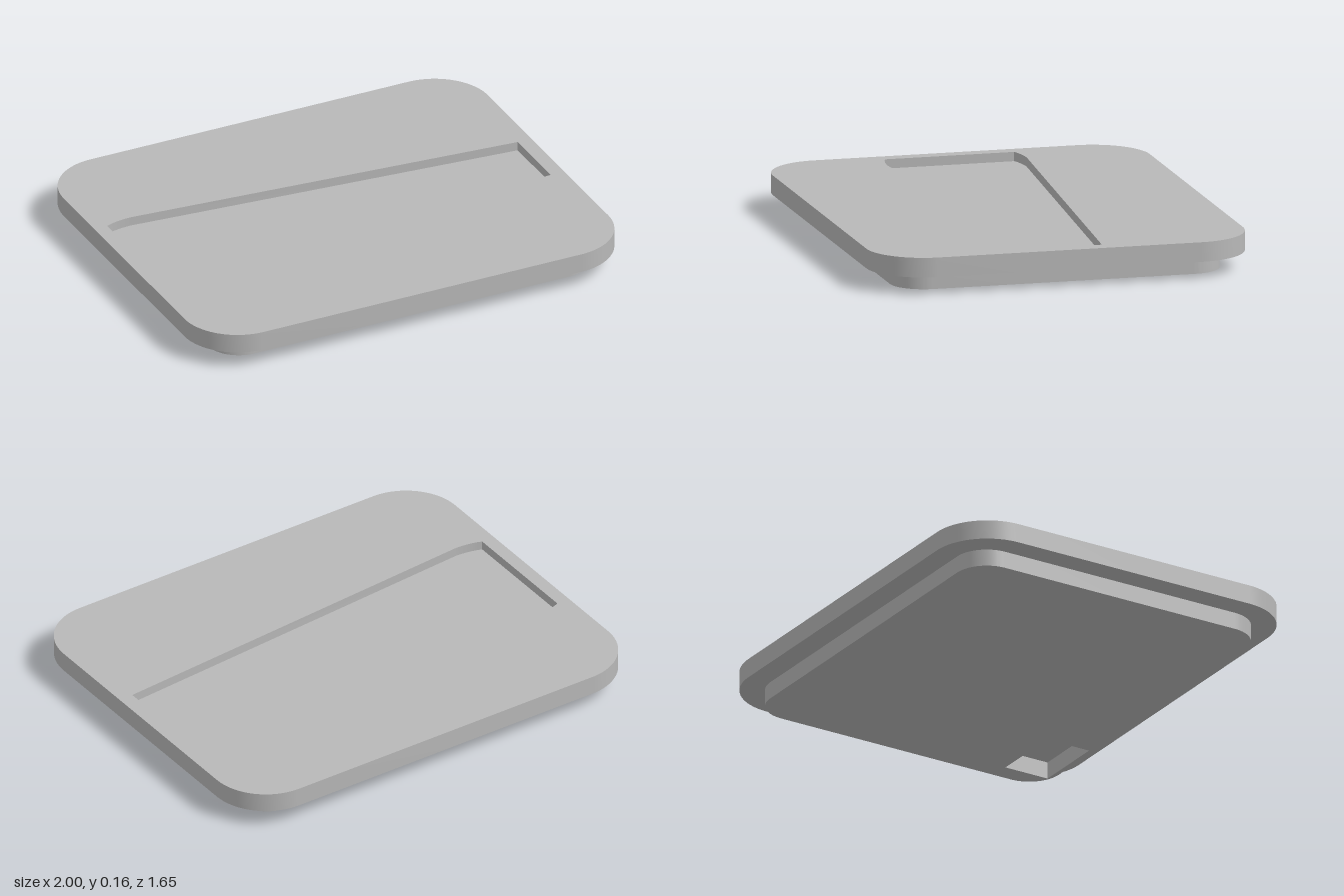
import * as THREE from 'three';
import { toCreasedNormals } from 'three/addons/utils/BufferGeometryUtils.js';

// Shapes are drawn in plan: shape x = model x, shape y = model z
function roundedRect(hx, hz, r) {
  const s = new THREE.Shape();
  s.absarc(hx - r, hz - r, r, 0, Math.PI / 2);
  s.absarc(-hx + r, hz - r, r, Math.PI / 2, Math.PI);
  s.absarc(-hx + r, -hz + r, r, Math.PI, Math.PI * 1.5);
  s.absarc(hx - r, -hz + r, r, Math.PI * 1.5, Math.PI * 2);
  s.closePath();
  return s;
}

// Tapered channel outline, wide at -x with softly curved shoulders
function channelOutline() {
  const s = new THREE.Shape();
  s.moveTo(0.935, -0.157);
  s.lineTo(0.935, 0.157);
  s.lineTo(-0.82, 0.305);
  s.quadraticCurveTo(-0.89, 0.303, -0.94, 0.283);
  s.lineTo(-0.94, -0.283);
  s.quadraticCurveTo(-0.89, -0.303, -0.82, -0.305);
  s.closePath();
  return s;
}

function rectOutline(x0, x1, z0, z1) {
  return new THREE.Shape([
    new THREE.Vector2(x0, z0), new THREE.Vector2(x1, z0),
    new THREE.Vector2(x1, z1), new THREE.Vector2(x0, z1),
  ]);
}

// Flat horizontal face; upward faces are only used for shapes symmetric in z
function cap(outline, y, up, hole) {
  const shape = outline.clone();
  if (hole) shape.holes.push(hole);
  return new THREE.ShapeGeometry(shape, 16)
    .rotateX(up ? -Math.PI / 2 : Math.PI / 2)
    .translate(0, y, 0);
}

// Vertical wall along an outline, facing outward or inward
function wall(outline, y0, y1, inward = false) {
  let pts = outline.getPoints(16);
  pts = pts.filter((p, i) => p.distanceTo(pts[(i + 1) % pts.length]) > 1e-5);
  if (THREE.ShapeUtils.isClockWise(pts)) pts.reverse();
  if (inward) pts.reverse();
  const pos = [];
  pts.forEach((p, i) => {
    const q = pts[(i + 1) % pts.length];
    pos.push(p.x, y0, p.y, p.x, y1, p.y, q.x, y1, q.y);
    pos.push(p.x, y0, p.y, q.x, y1, q.y, q.x, y0, q.y);
  });
  const g = new THREE.BufferGeometry();
  g.setAttribute('position', new THREE.Float32BufferAttribute(pos, 3));
  return toCreasedNormals(g, 0.4);
}

export function createModel() {
  const model = new THREE.Group();
  model.name = 'recessedTray';
  const grey = new THREE.MeshStandardMaterial({ color: 0xb8b8b8 });
  grey.name = 'plain grey';

  const bottom = 0, step = 0.075, floor = 0.12, top = 0.16;

  function part(name, pieces) {
    const group = new THREE.Group();
    group.name = name;
    for (const [pieceName, geometry] of Object.entries(pieces)) {
      const mesh = new THREE.Mesh(geometry, grey);
      mesh.name = pieceName;
      group.add(mesh);
    }
    model.add(group);
  }

  const slab = roundedRect(1, 0.825, 0.25);
  const plinth = roundedRect(0.89, 0.72, 0.147);
  const channel = channelOutline();
  const pocket = rectOutline(0.47, 0.8, 0.49, 0.7);

  // Wide upper slab
  part('upperSlab', {
    slabTop: cap(slab, top, true, channel),
    slabRim: wall(slab, step, top),
    slabUnderside: cap(slab, step, false),
  });

  // Shallow tapered channel sunk into the top
  part('taperedChannel', {
    channelFloor: cap(channel, floor, true),
    channelWall: wall(channel, floor, top, true),
  });

  // Smaller plinth below
  part('plinth', {
    plinthSide: wall(plinth, bottom, step),
    plinthUnderside: cap(plinth, bottom, false, pocket),
  });

  // Rectangular pocket in the underside, reaching up to the slab
  part('undersidePocket', {
    pocketWall: wall(pocket, bottom, step, true),
  });

  return model;
}
